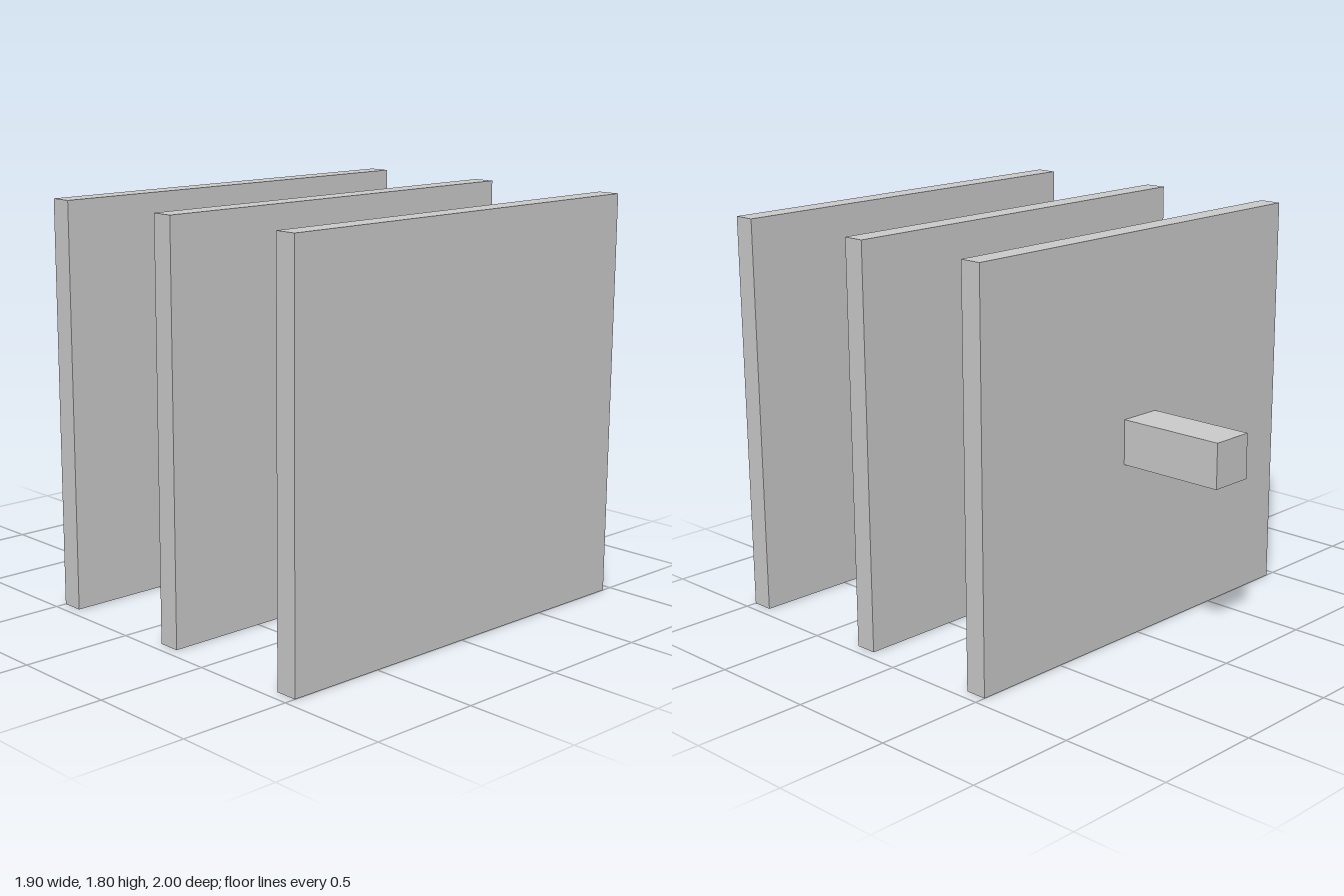
import * as THREE from 'three';

export function createModel() {
  const group = new THREE.Group();
  const material = new THREE.MeshStandardMaterial({ color: 0xcccccc, flatShading: true });

  const addBox = (name, width, height, depth, y, z) => {
    const mesh = new THREE.Mesh(new THREE.BoxGeometry(width, height, depth), material);
    mesh.name = name;
    mesh.position.set(0, y, z);
    group.add(mesh);
  };

  // Three parallel upright plates
  const plates = { frontPlate: 0.95, middlePlate: 0.23, backPlate: -0.45 };
  for (const [name, z] of Object.entries(plates)) addBox(name, 1.9, 1.8, 0.1, 0.9, z);

  // Square bar running from the front plate out through the back plate
  addBox('connectingBar', 0.2, 0.2, 1.9, 0.9, -0.05);

  return group;
}
